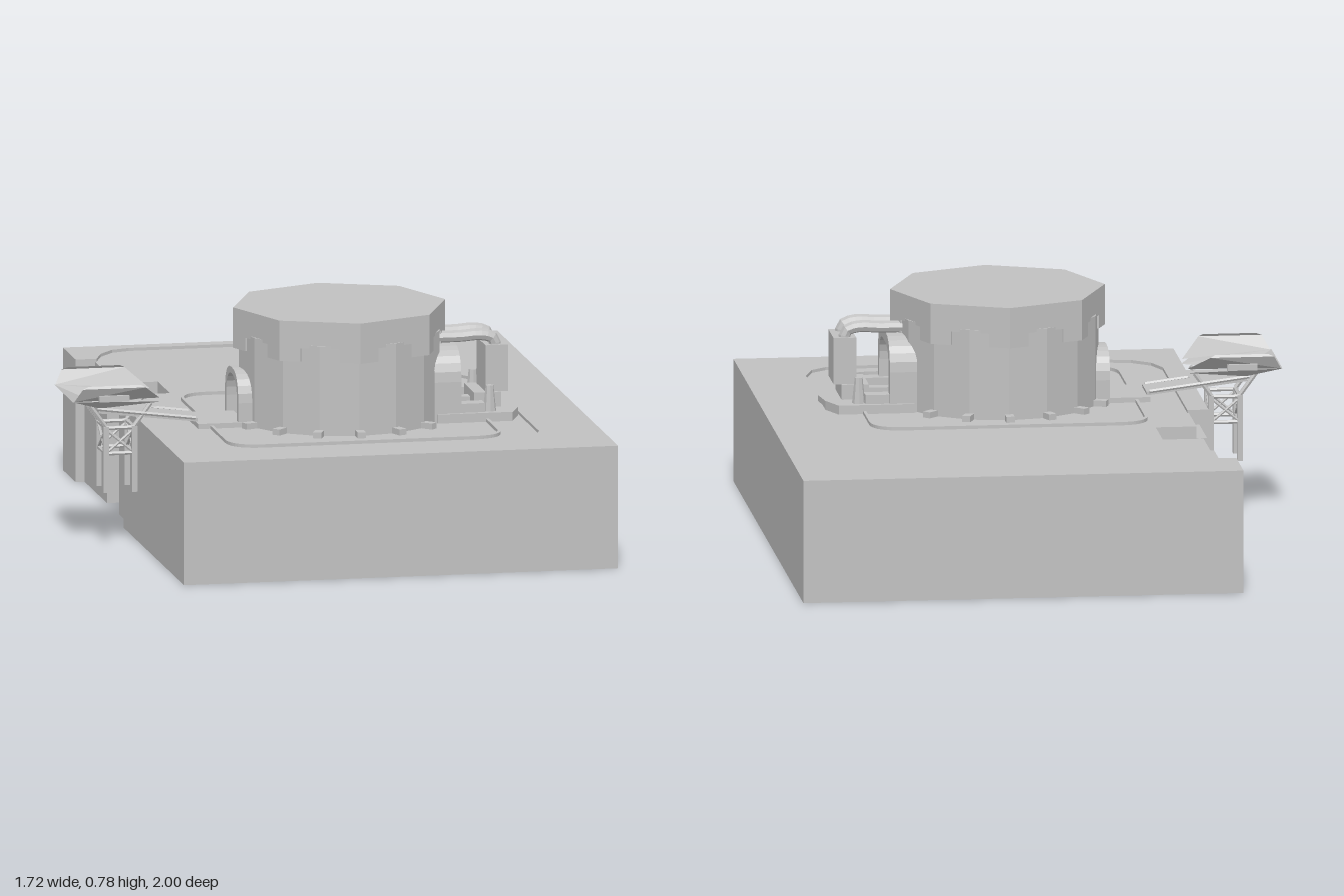
import * as THREE from 'three';

export function createModel() {
  const model = new THREE.Group();
  const grey = new THREE.MeshStandardMaterial({ color: 0xc0c0c0, flatShading: true, side: THREE.DoubleSide });
  grey.name = 'plain grey';
  const CX = 0.065, CZ = 0.285, DECK = 0.4;

  const add = (name, geo, x = 0, y = 0, z = 0, parent = model) => {
    const m = new THREE.Mesh(geo, grey);
    m.name = name;
    m.position.set(x, y, z);
    parent.add(m);
    return m;
  };
  // box given by its limits
  const box = (name, x0, x1, y0, y1, z0, z1) =>
    add(name, new THREE.BoxGeometry(x1 - x0, y1 - y0, z1 - z0), (x0 + x1) / 2, (y0 + y1) / 2, (z0 + z1) / 2);
  // plan outline of [x, z] points
  const plan = pts => new THREE.Shape(pts.map(p => new THREE.Vector2(p[0], -p[1])));
  const slab = (name, shape, y0, y1) => {
    const g = new THREE.ExtrudeGeometry(shape, { depth: y1 - y0, bevelEnabled: false });
    return add(name, g.rotateX(-Math.PI / 2), 0, y0, 0);
  };
  const strut = (name, a, b, r) => {
    const p = new THREE.Vector3(...a), q = new THREE.Vector3(...b), d = q.clone().sub(p);
    const m = add(name, new THREE.CylinderGeometry(r, r, d.length(), 6));
    m.position.copy(p).add(q).multiplyScalar(0.5);
    m.quaternion.setFromUnitVectors(new THREE.Vector3(0, 1, 0), d.normalize());
  };
  const quad = (name, ...p) => {
    const g = new THREE.BufferGeometry();
    g.setAttribute('position', new THREE.Float32BufferAttribute(p.flat(), 3));
    g.setIndex([0, 1, 2, 0, 2, 3]);
    g.computeVertexNormals();
    add(name, g);
  };

  // ground block with the notched side
  slab('baseBlock', plan([[-0.6, 1], [0.855, 1], [0.855, -1], [-0.6, -1], [-0.6, -0.79], [-0.535, -0.79],
    [-0.535, -0.42], [-0.4, -0.42], [-0.4, -0.22], [-0.535, -0.22], [-0.535, 0], [-0.6, 0]]), 0, DECK);
  box('sideLedge', -0.57, -0.535, 0, 0.36, -0.79, -0.42);
  box('sideLedge', -0.57, -0.535, 0, 0.36, -0.22, 0);

  // slightly raised border around the deck
  slab('deckBorder', plan([[-0.6, 0], [-0.6, 1], [0.855, 1], [0.855, -1], [-0.6, -1], [-0.6, -0.79], [-0.53, -0.79],
    [-0.5, -0.87], [-0.45, -0.93], [-0.39, -0.95], [0.35, -0.95], [0.42, -0.93], [0.47, -0.89], [0.515, -0.8],
    [0.515, -0.4], [0.65, -0.19], [0.65, 0.7], [0.62, 0.79], [0.57, 0.83], [0.48, 0.845], [-0.36, 0.845],
    [-0.44, 0.83], [-0.5, 0.78], [-0.53, 0.7], [-0.53, 0]]), DECK, 0.41);

  // rounded rim around the tower
  const roundRect = (P, x0, x1, z0, z1, r) => {
    const s = new P();
    s.moveTo(x0 + r, -z0);
    s.lineTo(x1 - r, -z0); s.quadraticCurveTo(x1, -z0, x1, -z0 - r);
    s.lineTo(x1, -z1 + r); s.quadraticCurveTo(x1, -z1, x1 - r, -z1);
    s.lineTo(x0 + r, -z1); s.quadraticCurveTo(x0, -z1, x0, -z1 + r);
    s.lineTo(x0, -z0 - r); s.quadraticCurveTo(x0, -z0, x0 + r, -z0);
    return s;
  };
  const rim = roundRect(THREE.Shape, -0.39, 0.53, -0.175, 0.75, 0.11);
  rim.holes.push(roundRect(THREE.Path, -0.38, 0.52, -0.165, 0.74, 0.1));
  slab('towerRim', rim, DECK, 0.411);

  // tower body and octagonal roof
  add('towerBody', new THREE.CylinderGeometry(0.335, 0.335, 0.3, 16), CX, 0.55, CZ);
  add('towerRoof', new THREE.CylinderGeometry(0.355, 0.355, 0.09, 8), CX, 0.735, CZ);
  const corner = (i, r = 0.355) => [CX + r * Math.cos(i * Math.PI / 4), CZ + r * Math.sin(i * Math.PI / 4)];
  const mix = (a, b, t) => [a[0] + (b[0] - a[0]) * t, a[1] + (b[1] - a[1]) * t];
  for (let i = 0; i < 8; i++) {
    const t = 0.26;
    slab('roofCornerFlap', plan([mix(corner(i), corner(i - 1), t), corner(i), mix(corner(i), corner(i + 1), t),
      mix(corner(i, 0.325), corner(i + 1, 0.325), t), corner(i, 0.325),
      mix(corner(i, 0.325), corner(i - 1, 0.325), t)]), 0.645, 0.69);
  }
  // anchor feet
  for (let i = 0; i < 16; i++) {
    if (i % 8 === 0) continue;
    const a = i * Math.PI / 8;
    const foot = add('anchorFoot', new THREE.BoxGeometry(0.05, 0.02, 0.028),
      CX + 0.35 * Math.cos(a), 0.41, CZ + 0.35 * Math.sin(a));
    foot.rotation.y = -a;
  }

  // doorway arches
  const arch = (name, x, depth, half, top, r, w) => {
    const outline = (s, h, t, q) => {
      s.moveTo(-h, 0); s.lineTo(-h, t - q); s.quadraticCurveTo(-h, t, -h + q, t);
      s.lineTo(h - q, t); s.quadraticCurveTo(h, t, h, t - q); s.lineTo(h, 0);
    };
    const s = new THREE.Shape();
    outline(s, half, top, r);
    const inner = new THREE.Shape();
    outline(inner, half - w, top - w, r - w / 2);
    const pts = [...s.getPoints(6), ...inner.getPoints(6).reverse()];
    const g = new THREE.ExtrudeGeometry(new THREE.Shape(pts), { depth, bevelEnabled: false });
    add(name, g.rotateY(Math.PI / 2), x, DECK, CZ);
  };
  arch('machineArch', 0.35, 0.09, 0.17, 0.245, 0.11, 0.035);
  arch('doorArch', -0.295, 0.08, 0.11, 0.18, 0.1, 0.02);

  // machinery on the left side
  slab('machinePlate', plan([[0.36, 0.105], [0.61, 0.105], [0.645, 0.19], [0.658, 0.285], [0.645, 0.38],
    [0.61, 0.465], [0.36, 0.465]]), DECK, 0.43);
  box('machineBox', 0.54, 0.615, 0.48, 0.635, 0.21, 0.36);
  box('machinePedestal', 0.5, 0.59, 0.43, 0.48, 0.2, 0.37);
  box('machineLink', 0.39, 0.52, 0.43, 0.455, 0.265, 0.305);
  for (const s of [-1, 1]) {
    const z = CZ + s * 0.14, pz = CZ + s * 0.05;
    box('valveBlock', 0.4, 0.52, 0.43, 0.46, z - 0.025, z + 0.025);
    add('valve', new THREE.CylinderGeometry(0.013, 0.022, 0.085, 8), 0.54, 0.4725, z);
    const path = new THREE.CatmullRomCurve3([[0.37, 0.665], [0.46, 0.665], [0.53, 0.668], [0.57, 0.655], [0.578, 0.62]]
      .map(p => new THREE.Vector3(p[0], p[1], pz)));
    add('bentPipe', new THREE.TubeGeometry(path, 12, 0.02, 8), 0, 0, 0);
  }

  // walkway from the door to the outer platform
  box('doorStep', -0.43, -0.27, DECK, 0.417, 0.19, 0.4);
  const ramp = add('walkway', new THREE.BoxGeometry(0.335, 0.012, 0.13), -0.588, 0.442, 0.288);
  ramp.rotation.z = -0.12;
  for (const z of [0.225, 0.351]) strut('walkwayRail', [-0.76, 0.471, z], [-0.43, 0.429, z], 0.007);

  // flared platform with raised wings
  quad('platformFloor', [-0.75, 0.472, 0.225], [-0.75, 0.472, 0.351], [-0.56, 0.472, 0.351], [-0.56, 0.472, 0.225]);
  quad('platformEnd', [-0.86, 0.515, 0.13], [-0.86, 0.515, 0.446], [-0.75, 0.472, 0.351], [-0.75, 0.472, 0.225]);
  for (const s of [-1, 1]) {
    const p = (x, y, d) => [x, y, 0.288 + s * d];
    quad('platformSide', p(-0.86, 0.515, 0.158), p(-0.61, 0.508, 0.158), p(-0.55, 0.49, 0.075), p(-0.75, 0.472, 0.063));
    quad('platformWing', p(-0.855, 0.515, 0.155), p(-0.83, 0.56, 0.178), p(-0.62, 0.56, 0.178), p(-0.555, 0.505, 0.082));
    quad('platformWingLip', p(-0.83, 0.56, 0.178), p(-0.81, 0.568, 0.172), p(-0.635, 0.568, 0.172), p(-0.62, 0.56, 0.178));
    const z = 0.288 + s * 0.172;
    box('wingHandle', -0.775, -0.675, 0.515, 0.535, z - 0.006, z + 0.006);
  }

  // trestle under the platform
  const LX = [-0.73, -0.635], LZ = [0.228, 0.348];
  for (const z of LZ) {
    LX.forEach((x, i) => {
      box('trestleLeg', x - 0.009, x + 0.009, 0.19, 0.41, z - 0.009, z + 0.009);
      strut('platformBrace', [x, 0.41, z], [i ? -0.58 : -0.785, 0.485, z], 0.008);
      strut('crossBrace', [x, 0.32, z], [LX[1 - i], 0.4, z], 0.005);
    });
    for (const y of [0.32, 0.405]) strut('trestleBeam', [LX[0], y, z], [LX[1], y, z], 0.007);
  }
  for (const x of LX) {
    for (const y of [0.32, 0.405]) strut('trestleBeam', [x, y, LZ[0]], [x, y, LZ[1]], 0.007);
    strut('crossBrace', [x, 0.32, LZ[0]], [x, 0.4, LZ[1]], 0.005);
    strut('crossBrace', [x, 0.4, LZ[0]], [x, 0.32, LZ[1]], 0.005);
  }
  return model;
}
